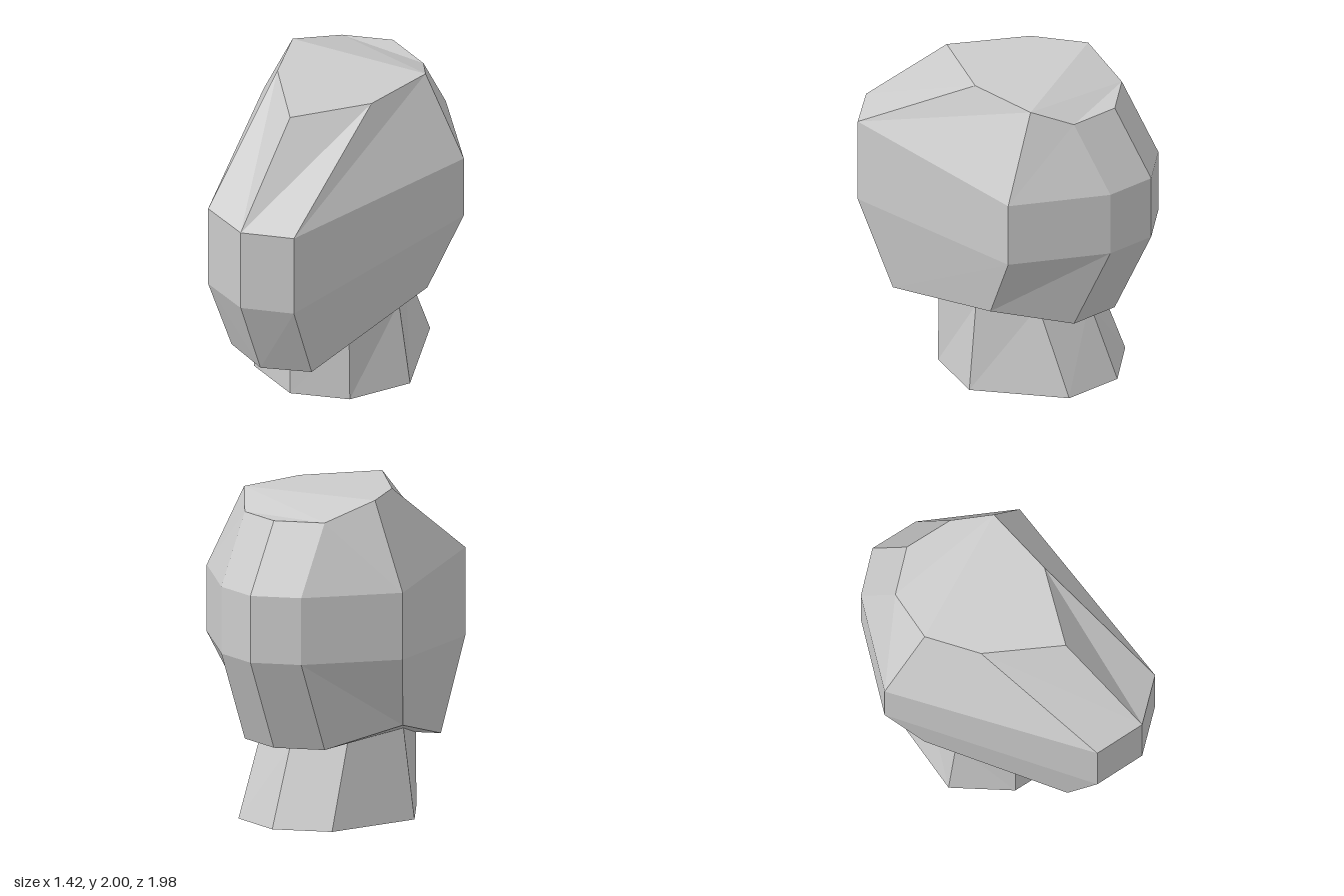
import * as THREE from 'three';

// Eight-point ring: front, front side, side, back side, back as [x, y, z], mirrored to -x.
function ring(points) {
  const mirrored = [3, 2, 1].map(i => [-points[i][0], points[i][1], points[i][2]]);
  return [...points, ...mirrored];
}

// Skin rings from bottom to top; caps are strips across the mirrored pairs.
function loft(rings, capBottom, capTop) {
  const position = [];
  const tri = (a, b, c) => position.push(...a, ...b, ...c);
  for (let r = 0; r < rings.length - 1; r++) {
    const a = rings[r], b = rings[r + 1];
    for (let i = 0; i < 8; i++) {
      const j = (i + 1) % 8;
      if (i < 4) { // diagonals mirror from left to right
        tri(a[i], a[j], b[j]);
        tri(a[i], b[j], b[i]);
      } else {
        tri(a[i], a[j], b[i]);
        tri(a[j], b[j], b[i]);
      }
    }
  }
  const cap = (r, up) => {
    const face = (i, j, k) => up ? tri(r[i], r[j], r[k]) : tri(r[i], r[k], r[j]);
    face(0, 1, 7);
    for (let i = 1; i < 3; i++) {
      face(i, i + 1, 7 - i);
      face(i, 7 - i, 8 - i);
    }
    face(3, 4, 5);
  };
  if (capBottom) cap(rings[0], false);
  if (capTop) cap(rings[rings.length - 1], true);
  const geometry = new THREE.BufferGeometry();
  geometry.setAttribute('position', new THREE.Float32BufferAttribute(position, 3));
  geometry.computeVertexNormals();
  return geometry;
}

export function createModel() {
  const group = new THREE.Group();
  group.name = 'headBust';
  const material = new THREE.MeshStandardMaterial({ color: 0xcccccc, flatShading: true });
  const add = (name, geometry) => {
    const mesh = new THREE.Mesh(geometry, material);
    mesh.name = name;
    group.add(mesh);
  };

  // Neck
  const neckBase = ring([[0, 0, 0.43], [0.34, 0, 0.295], [0.555, 0, -0.045], [0.34, 0, -0.615], [0, 0, -0.755]]);
  const neckTop = ring([[0, 0.395, 0.43], [0.335, 0.45, 0.295], [0.475, 0.555, -0.045], [0.31, 0.56, -0.385], [0, 0.48, -0.56]]);
  add('neck', loft([neckBase, neckTop], true, false));

  // Head: underside, jaw, cheeks, brow and crown
  const jaw = ring([[0, 0.375, 0.765], [0.285, 0.375, 0.64], [0.578, 0.613, -0.205], [0.29, 0.5, -0.62], [0, 0.5, -0.737]]);
  const cheeks = ring([[0, 0.937, 0.99], [0.305, 0.937, 0.873], [0.712, 1.07, -0.405], [0.29, 1.07, -0.873], [0, 1.07, -0.99]]);
  const brow = ring([[0, 1.482, 0.99], [0.305, 1.482, 0.873], [0.712, 1.482, -0.405], [0.29, 1.482, -0.873], [0, 1.482, -0.99]]);
  const crown = ring([[0, 2, 0.43], [0.335, 2, 0.04], [0.44, 2, -0.405], [0.29, 1.9, -0.62], [0, 1.9, -0.737]]);
  crown[6][2] = -0.3; // the crown is slightly uneven on one side
  add('head', loft([neckTop, jaw, cheeks, brow, crown], false, true));

  return group;
}
